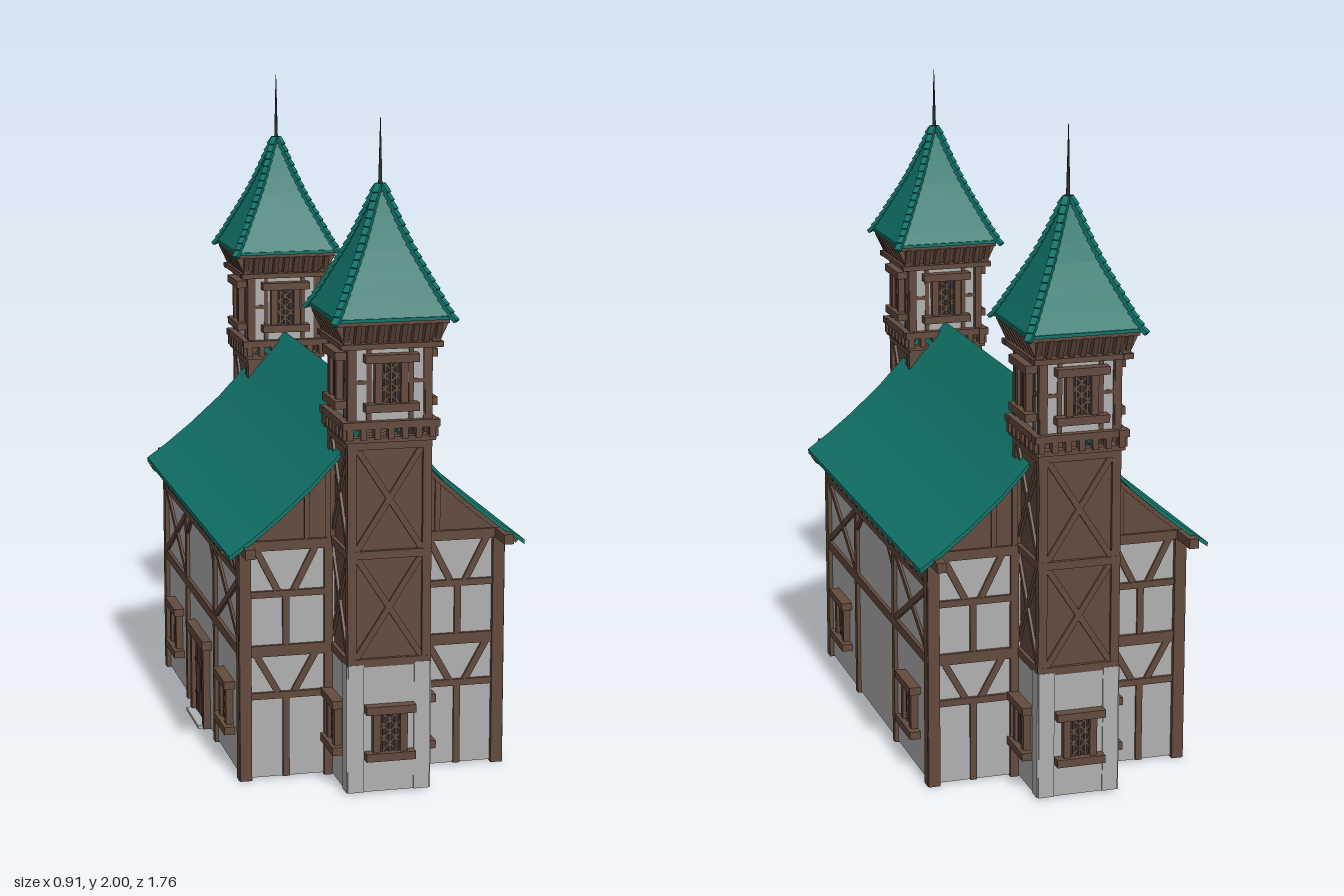
import * as THREE from 'three';

const mat = (name, color) => { const m = new THREE.MeshStandardMaterial({ color }); m.name = name; return m; };
const WALL = mat('plaster grey', 0xb0b0b0);
const WOOD = mat('timber brown', 0x634a3d);
const ROOF = mat('roof teal', 0x10746a);
const DARK = mat('dark iron', 0x2c2d31);

function add(parent, geo, material, name, x = 0, y = 0, z = 0) {
  const m = new THREE.Mesh(geo, material);
  m.name = name;
  m.position.set(x, y, z);
  parent.add(m);
  return m;
}
const box = (p, material, name, w, h, d, x, y, z) =>
  add(p, new THREE.BoxGeometry(w, h, d), material, name, x, y, z);

// Straight timber between two points of a facade (local z points outwards)
function beam(p, x0, y0, x1, y1, w = 0.022, d = 0.03, z = 0, name = 'beam') {
  const m = box(p, WOOD, name, Math.hypot(x1 - x0, y1 - y0), w, d, (x0 + x1) / 2, (y0 + y1) / 2, z);
  m.rotation.z = Math.atan2(y1 - y0, x1 - x0);
  return m;
}

// Facade group turned to one of the four sides
function facade(parent, name, turn, dist) {
  const g = new THREE.Group();
  g.name = name;
  g.rotation.y = turn * Math.PI / 2;
  g.position.set(Math.sin(g.rotation.y) * dist, 0, Math.cos(g.rotation.y) * dist);
  parent.add(g);
  return g;
}

// Latticed window with lintel and sill
function windowAt(parent, x, y, w, h, overhang) {
  const g = new THREE.Group();
  g.name = 'window';
  g.position.set(x, y, 0.006);
  parent.add(g);
  box(g, DARK, 'pane', w, h, 0.008, 0, 0, 0.004);
  for (const s of [-1, 1]) {
    box(g, WOOD, 'jamb', 0.022, h, 0.03, s * (w / 2 - 0.004), 0, 0.008);
    box(g, WOOD, s > 0 ? 'lintel' : 'sill', w + overhang, 0.024, 0.045, 0, s * (h / 2 + 0.004), 0.012);
    for (let i = -1; i <= 1; i++) {
      const r = w * 0.36;
      beam(g, -r, i * h * 0.27 - s * r, r, i * h * 0.27 + s * r, 0.006, 0.006, 0.011, 'lattice');
    }
  }
  for (const i of [-1, 0, 1]) box(g, WOOD, 'window bar', 0.006, h, 0.006, i * w * 0.2, 0, 0.013);
}

// Four-sided flat-faced solid of revolution from [halfWidth, y] pairs
function square(profile) {
  const pts = profile.map(([r, y]) => new THREE.Vector2(r * Math.SQRT2, y));
  const g = new THREE.LatheGeometry(pts, 4, Math.PI / 4).toNonIndexed();
  g.computeVertexNormals();
  return g;
}

const SPIRE = [[0.172, 1.42], [0.15, 1.46], [0.125, 1.51], [0.1, 1.56], [0.076, 1.61], [0.053, 1.665], [0.032, 1.72], [0.012, 1.775]];

function tower(tip) {
  const t = new THREE.Group();
  t.name = 'tower';
  for (let k = 0; k < 4; k++) {
    // Plastered base, open underneath
    const base = facade(t, 'tower base side', k, 0.118);
    box(base, WALL, 'base wall', 0.246, 0.39, 0.012, 0, 0.2, 0);
    for (const s of [-1, 1]) box(base, WALL, 'base pier', 0.048, 0.39, 0.014, s * 0.1, 0.2, 0.003);
    if (k !== 2) windowAt(base, 0, 0.19, 0.09, 0.135, 0.06);

    // Timber shaft with crossed braces
    const shaft = facade(t, 'tower shaft side', k, 0.115);
    box(shaft, WOOD, 'shaft panel', 0.23, 0.68, 0.008, 0, 0.73, -0.004);
    for (const s of [-1, 1]) beam(shaft, s * 0.112, 0.39, s * 0.112, 1.07, 0.026, 0.022, 0);
    for (const y of [0.4, 0.725, 1.05]) beam(shaft, -0.124, y, 0.124, y, 0.024, 0.024, 0);
    for (const y of [0.41, 0.735]) for (const s of [-1, 1]) beam(shaft, -0.1 * s, y, 0.1 * s, y + 0.31, 0.018, 0.016, 0);

    // Lower cornice with corbels
    const cornice = facade(t, 'tower cornice side', k, 0.125);
    beam(cornice, -0.145, 1.112, 0.145, 1.112, 0.022, 0.03, 0.002);
    beam(cornice, -0.135, 1.068, 0.135, 1.068, 0.016, 0.03, -0.005);
    for (let i = -3; i <= 3; i++) box(cornice, WOOD, 'corbel', 0.018, 0.036, 0.03, i * 0.041, 1.088, 0.002);

    // Upper lookout storey
    const top = facade(t, 'lookout side', k, 0.113);
    box(top, WALL, 'lookout wall', 0.232, 0.24, 0.012, 0, 1.235, 0);
    for (const s of [-1, 1]) {
      beam(top, s * 0.114, 1.12, s * 0.114, 1.35, 0.02, 0.026, 0);
      beam(top, s * 0.063, 1.12, s * 0.063, 1.35, 0.014, 0.02, 0);
      beam(top, s * 0.063, 1.235, s * 0.114, 1.235, 0.012, 0.018, 0);
    }
    windowAt(top, 0, 1.235, 0.085, 0.135, 0.075);

    // Flaring brackets below the spire
    const eave = facade(t, 'spire bracket side', k, 0.135);
    beam(eave, -0.152, 1.343, 0.152, 1.343, 0.016, 0.03, 0);
    for (let i = -4; i <= 4; i++) {
      const b = box(eave, WOOD, 'bracket', 0.016, 0.07, 0.022, i * 0.034, 1.38, 0.008);
      b.rotation.x = 0.45;
    }
  }
  add(t, square([[0.118, 1.345], [0.142, 1.41]]), WOOD, 'spire collar');
  box(t, WOOD, 'spire soffit', 0.33, 0.014, 0.33, 0, 1.413, 0);

  // Concave spire with hip tiles
  add(t, square(SPIRE), ROOF, 'spire roof');
  const edge = add(t, new THREE.BoxGeometry(0.346, 0.01, 0.346), ROOF, 'spire eave', 0, 1.422, 0);
  edge.castShadow = false;
  for (let k = 0; k < 4; k++) {
    const a = Math.PI / 4 + k * Math.PI / 2;
    const hip = new THREE.CatmullRomCurve3(SPIRE.map(([r, y]) => new THREE.Vector3(0, y, r * Math.SQRT2)));
    const g = new THREE.Group();
    g.name = 'hip tiles';
    g.rotation.y = a;
    t.add(g);
    for (let i = 0; i <= 16; i++) {
      const p = hip.getPointAt(i / 16), d = hip.getTangentAt(i / 16);
      const tile = box(g, ROOF, 'hip tile', 0.021, 0.012, 0.03, 0, p.y + 0.003, p.z);
      tile.rotation.x = Math.atan2(d.y, -d.z) - 0.2;
    }
  }
  // Finial
  add(t, new THREE.CylinderGeometry(0.013, 0.017, 0.025, 8), DARK, 'finial cap', 0, 1.78, 0);
  add(t, new THREE.CylinderGeometry(0.001, 0.0065, tip - 1.78, 6), DARK, 'finial spike', 0, (tip + 1.78) / 2, 0);
  return t;
}

const SLOPE = [[0.45, 0.712], [0.38, 0.762], [0.3, 0.826], [0.2, 0.915], [0.125, 0.995], [0, 1.15]];

// Timber-framed end wall with gable
function endWall(parent, turn) {
  const f = facade(parent, 'end wall', turn, 0.605);
  for (const s of [-1, 1]) {
    box(f, WALL, 'end plaster', 0.3, 0.73, 0.014, s * 0.25, 0.37, 0);
    for (const x of [0.397, 0.136]) beam(f, s * x, 0, s * x, 0.72, 0.026, 0.036, 0, 'post');
    for (const [y, w] of [[0.26, 0.02], [0.398, 0.034], [0.572, 0.02], [0.72, 0.03]])
      beam(f, s * 0.125, y, s * 0.405, y, w, 0.036, 0, 'rail');
    for (const [y0, y1, y2] of [[0.005, 0.26, 0.385], [0.41, 0.572, 0.71]]) {
      beam(f, s * 0.265, y0, s * 0.265, y1, 0.02);
      for (const q of [-1, 1]) beam(f, s * 0.265 + q * 0.02, y1, s * 0.265 + q * 0.09, y2, 0.02);
    }
    // Gable boarding and studs
    const shape = new THREE.Shape([[0.1, 0.72], [0.435, 0.712], ...SLOPE.slice(1, 5), [0.1, 1.02]]
      .map(([x, y]) => new THREE.Vector2(s * x, y - 0.012)));
    const gable = new THREE.ExtrudeGeometry(shape, { depth: 0.014, bevelEnabled: false });
    add(f, gable, WOOD, 'gable boarding', 0, 0, -0.005);
    for (const [x, y] of [[0.136, 0.96], [0.2, 0.89]]) beam(f, s * x, 0.73, s * x, y, 0.016, 0.03, 0, 'stud');
    for (let i = 0; i < 4; i++)
      beam(f, s * SLOPE[i][0], SLOPE[i][1] - 0.018, s * SLOPE[i + 1][0], SLOPE[i + 1][1] - 0.018, 0.02, 0.04, 0, 'rafter');
  }
}

// Long wall with three bays
function longWall(parent, turn, door) {
  const f = facade(parent, 'long wall', turn, 0.39);
  box(f, WALL, 'long plaster', 1.22, 0.73, 0.014, 0, 0.37, 0);
  for (const x of [-0.615, -0.23, 0.23, 0.615]) beam(f, x, 0, x, 0.71, 0.026, 0.036, 0, 'post');
  for (const [y, w] of [[0.398, 0.03], [0.63, 0.02], [0.708, 0.016]]) beam(f, -0.62, y, 0.62, y, w, 0.036, 0, 'rail');
  for (const s of [-1, 1]) {
    beam(f, s * 0.245, 0.415, s * 0.6, 0.62, 0.02);
    beam(f, s * 0.245, 0.62, s * 0.6, 0.415, 0.02, 0.028);
    beam(f, s * 0.23, 0.56, s * 0.15, 0.63, 0.018);
    windowAt(f, s * 0.415, 0.19, 0.1, 0.135, 0.07);
  }
  for (let i = 0; i < 19; i++) {
    const b = box(f, WOOD, 'eave bracket', 0.02, 0.058, 0.026, (i - 9) * 0.064, 0.67, 0.014);
    b.rotation.x = 0.25;
  }
  if (!door) return;
  // Double door
  for (const s of [-1, 1]) {
    box(f, WOOD, 'door leaf', 0.082, 0.25, 0.02, s * 0.043, 0.13, 0.006);
    box(f, WOOD, 'door post', 0.026, 0.28, 0.042, s * 0.097, 0.14, 0.008);
    for (const y of [0.07, 0.18]) box(f, DARK, 'door hinge', 0.06, 0.008, 0.004, s * 0.048, y, 0.017);
    for (const x of [0.03, 0.058]) box(f, WOOD, 'door slat', 0.012, 0.23, 0.008, s * x, 0.13, 0.016);
  }
  box(f, WOOD, 'door lintel', 0.27, 0.03, 0.05, 0, 0.28, 0.012);
  box(f, WALL, 'door step', 0.2, 0.01, 0.05, 0, 0.005, 0.02);
}

export function createModel() {
  const model = new THREE.Group();
  model.name = 'timber hall with two towers';

  const hall = new THREE.Group();
  hall.name = 'hall';
  model.add(hall);
  longWall(hall, 1, false);
  longWall(hall, 3, true);
  endWall(hall, 0);
  endWall(hall, 2);

  // Curved roof shell and eave purlins
  const outer = [...SLOPE, ...SLOPE.slice(0, 5).reverse().map(([x, y]) => [-x, y])];
  const inner = outer.map(([x, y]) => [x, y - 0.014]).reverse();
  const shell = new THREE.Shape([...outer, ...inner].map(([x, y]) => new THREE.Vector2(x, y)));
  const roof = new THREE.ExtrudeGeometry(shell, { depth: 1.385, bevelEnabled: false });
  add(hall, roof, ROOF, 'hall roof', 0, 0, -0.695);
  for (const s of [-1, 1]) box(hall, WOOD, 'eave purlin', 0.03, 0.03, 1.45, s * 0.393, 0.722, -0.005);

  const front = tower(1.98);
  front.position.z = 0.69;
  const back = tower(2);
  back.rotation.y = Math.PI;
  back.position.z = -0.69;
  model.add(front, back);
  return model;
}
